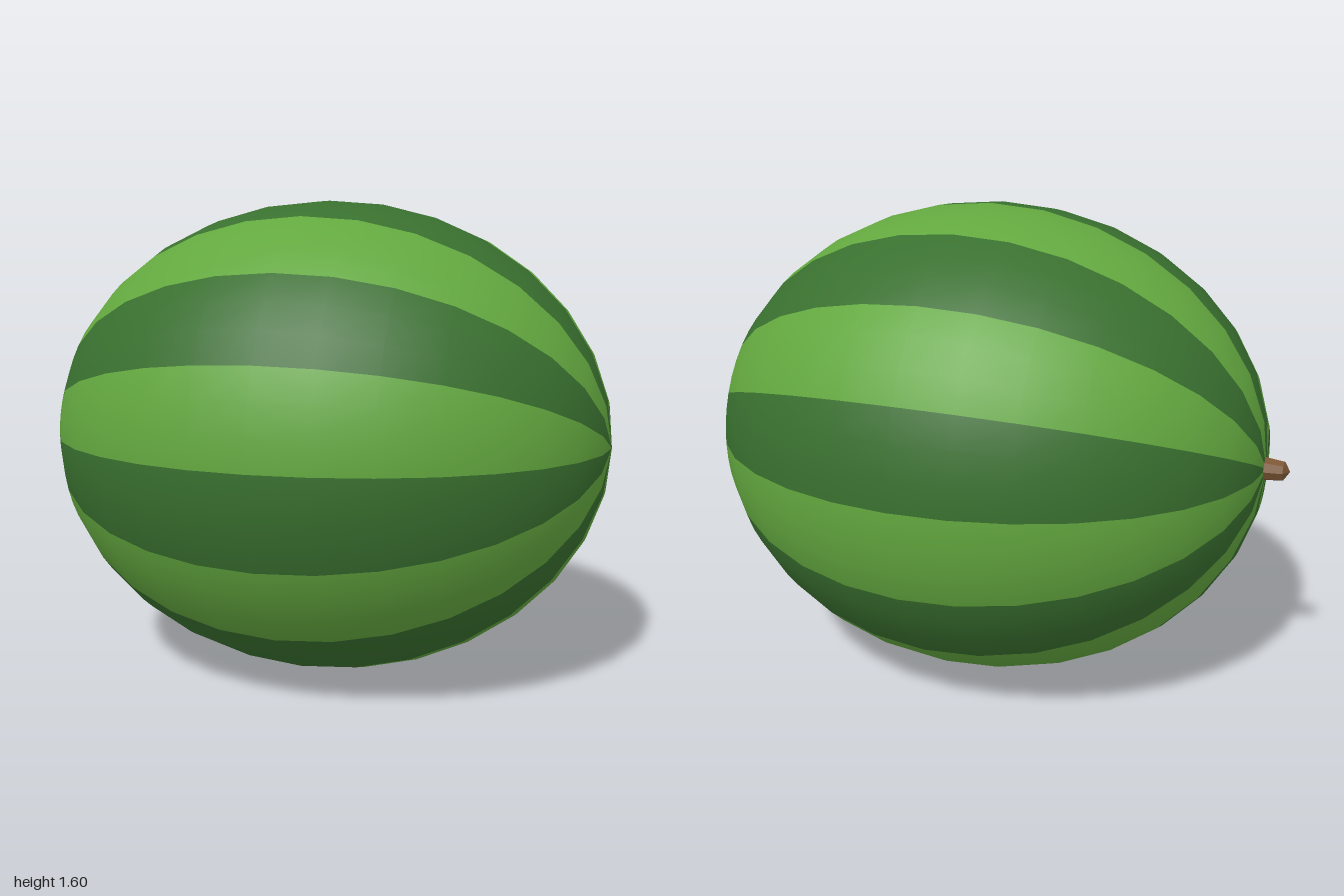
import * as THREE from 'three';
import { mergeGeometries } from 'three/addons/utils/BufferGeometryUtils.js';

const STRIPES = 16;
const CENTER = [0.035, 0.8, 0];

// One lengthwise wedge of the rind, long axis along x; index 0 starts at the top.
function wedge(index) {
  const step = (Math.PI * 2) / STRIPES;
  const geometry = new THREE.SphereGeometry(1, 2, 16, index * step, step);
  geometry.rotateZ(-Math.PI / 2);
  geometry.scale(0.96, 0.8, 0.8);
  return geometry;
}

export function createModel() {
  const model = new THREE.Group();
  model.name = 'watermelon';

  const darkGreen = new THREE.MeshStandardMaterial({ color: 0x39702f });
  darkGreen.name = 'dark green rind';
  const lightGreen = new THREE.MeshStandardMaterial({ color: 0x63a83f });
  lightGreen.name = 'light green rind';
  const brown = new THREE.MeshStandardMaterial({ color: 0x7a5534, flatShading: true });
  brown.name = 'brown stem';

  // Alternating rind stripes, merged by colour
  [['darkStripes', darkGreen], ['lightStripes', lightGreen]].forEach(([name, material], parity) => {
    const wedges = [];
    for (let i = parity; i < STRIPES; i += 2) wedges.push(wedge(i));
    const mesh = new THREE.Mesh(mergeGeometries(wedges), material);
    mesh.name = name;
    mesh.position.set(...CENTER);
    model.add(mesh);
  });

  // Short tapered stem with a blunt tip, pointing to -x
  const profile = [[0, 0], [0.042, 0], [0.032, 0.08], [0, 0.1]].map(([r, h]) => new THREE.Vector2(r, h));
  const stem = new THREE.Mesh(new THREE.LatheGeometry(profile, 8), brown);
  stem.name = 'stem';
  stem.rotation.z = Math.PI / 2;
  stem.position.set(-0.9, 0.8, 0);
  model.add(stem);

  return model;
}
